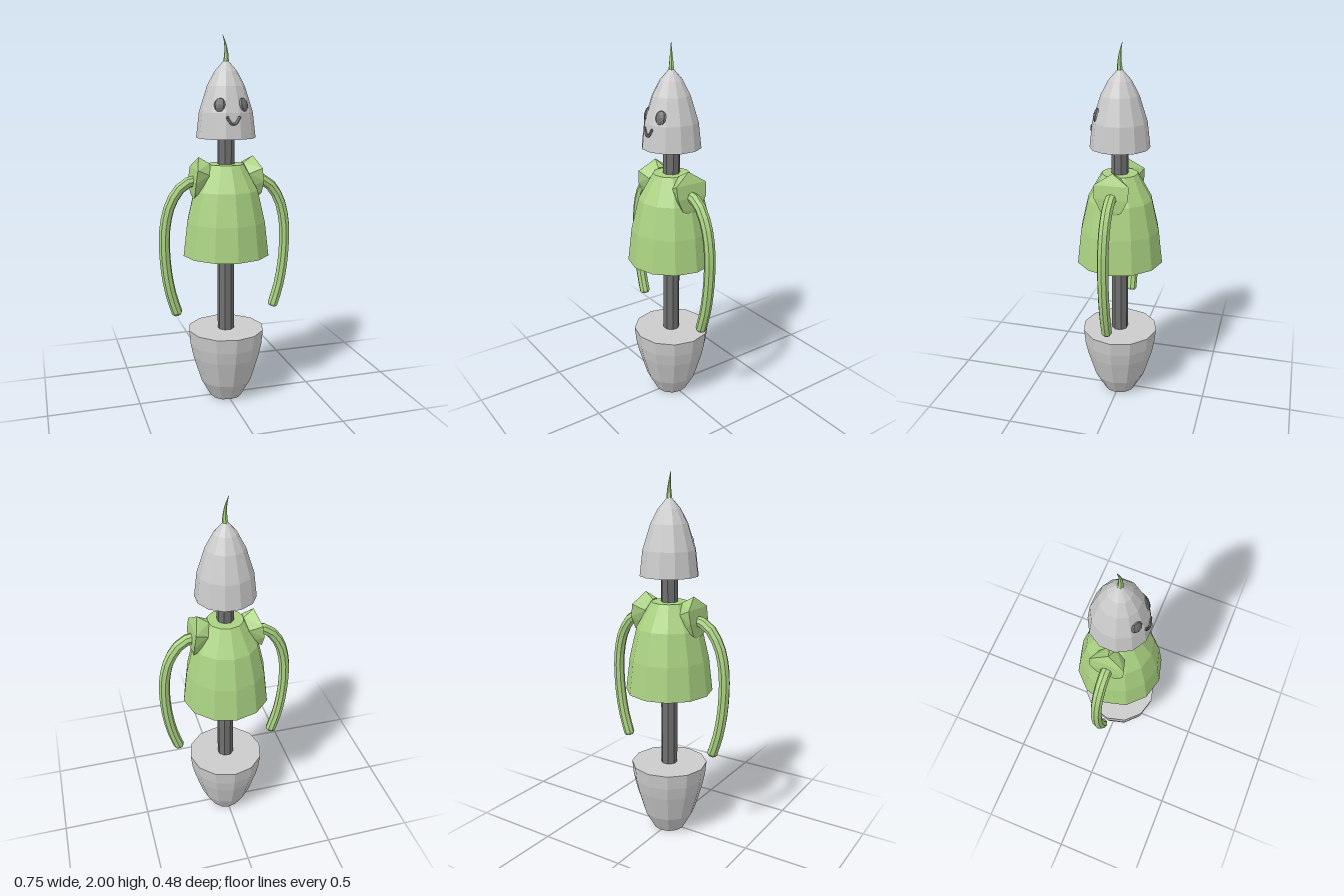
import * as THREE from 'three';
import { ConvexGeometry } from 'three/addons/geometries/ConvexGeometry.js';

const material = (color) => new THREE.MeshStandardMaterial({ color, flatShading: true });
const grey = material(0xcccccc);
const dark = material(0x707070);
const green = material(0xaad282);

function add(parent, name, geometry, mat, x = 0, y = 0, z = 0) {
  const mesh = new THREE.Mesh(geometry, mat);
  mesh.name = name;
  mesh.position.set(x, y, z);
  parent.add(mesh);
  return mesh;
}

// Closed 12-sided turned form; profile is [radius, height] from bottom to top
function turned(profile, turn = 0) {
  const closed = [[0, profile[0][1]], ...profile, [0, profile.at(-1)[1]]];
  return new THREE.LatheGeometry(closed.map(([r, y]) => new THREE.Vector2(r, y)), 12, turn);
}

// Curved sprout tapering to a point
function sproutGeometry() {
  const geo = new THREE.CylinderGeometry(0.001, 0.016, 0.14, 6, 5);
  const p = geo.attributes.position;
  for (let i = 0; i < p.count; i++) {
    const t = (p.getY(i) + 0.07) / 0.14;
    p.setX(i, p.getX(i) + 0.016 * t - 0.03 * t * t);
    p.setZ(i, p.getZ(i) + 0.012 * t - 0.02 * t * t);
  }
  geo.computeVertexNormals();
  return geo;
}

// Faceted pad: an outer rim and a narrower inner rim sunk into the body
function shoulderGeometry() {
  const rim = [
    [0.152, 1.37, 0], [0.178, 1.31, 0.093], [0.188, 1.24, 0.09],
    [0.186, 1.17, 0.055], [0.18, 1.143, 0],
    [0.093, 1.335, 0.02], [0.11, 1.28, 0.07], [0.12, 1.2, 0.05],
  ];
  const points = [];
  for (const [x, y, z] of rim) {
    points.push(new THREE.Vector3(x, y, z));
    if (z) points.push(new THREE.Vector3(x, y, -z));
  }
  return new ConvexGeometry(points);
}

export function createModel() {
  const model = new THREE.Group();
  model.name = 'pottedFigure';

  // Pot and central pole
  add(model, 'pot', turned([[0.09, 0], [0.145, 0.1], [0.19, 0.25], [0.205, 0.32], [0.213, 0.4]]), grey);
  add(model, 'pole', new THREE.CylinderGeometry(0.046, 0.046, 1.14, 8).rotateY(Math.PI / 8), dark, 0, 0.95, 0);

  // Bell-shaped body and head
  add(model, 'body', turned([[0.239, 0.835], [0.217, 1.02], [0.177, 1.19], [0.098, 1.33]]), green);
  add(model, 'head', turned([[0.159, 1.47], [0.143, 1.605], [0.1, 1.74], [0.06, 1.815], [0.012, 1.87]], 0.24), grey);
  add(model, 'sprout', sproutGeometry(), green, 0, 1.93, 0);

  // Arms and shoulder pads, mirrored
  const armPath = new THREE.CatmullRomCurve3([
    [0.15, 1.245], [0.19, 1.243], [0.245, 1.215], [0.305, 1.13], [0.336, 1.02],
    [0.344, 0.9], [0.335, 0.75], [0.312, 0.62], [0.28, 0.515],
  ].map(([x, y]) => new THREE.Vector3(x, y, 0)));
  for (const [side, sign] of [['left', 1], ['right', -1]]) {
    const limb = new THREE.Group();
    limb.name = side + 'Limb';
    limb.scale.x = sign;
    model.add(limb);
    add(limb, side + 'Shoulder', shoulderGeometry(), green);
    add(limb, side + 'Arm', new THREE.TubeGeometry(armPath, 14, 0.03, 8), green);
    const tip = add(limb, side + 'Hand', new THREE.SphereGeometry(0.03, 8, 4), green, 0.28, 0.515, 0);
    tip.scale.y = 0.6;
    tip.rotation.z = -0.3;

    // Flattened eye facing outward along the head surface
    const eye = add(model, side + 'Eye', new THREE.SphereGeometry(1, 8, 6), dark, sign * 0.063, 1.645, 0.107);
    eye.scale.set(0.032, 0.037, 0.015);
    eye.rotation.set(-0.25, sign * 0.5, 0, 'YXZ');
  }

  // Smile with rounded ends
  const smilePath = new THREE.CatmullRomCurve3([-1, -0.75, -0.4, 0, 0.4, 0.75, 1].map((t) =>
    new THREE.Vector3(0.031 * t, 1.547 + 0.034 * t * t, 0.147 - 0.007 * t * t)));
  add(model, 'mouth', new THREE.TubeGeometry(smilePath, 10, 0.009, 6), dark);
  for (const s of [-1, 1]) {
    add(model, 'mouthCorner', new THREE.SphereGeometry(0.009, 6, 4), dark, s * 0.031, 1.581, 0.14);
  }
  return model;
}
